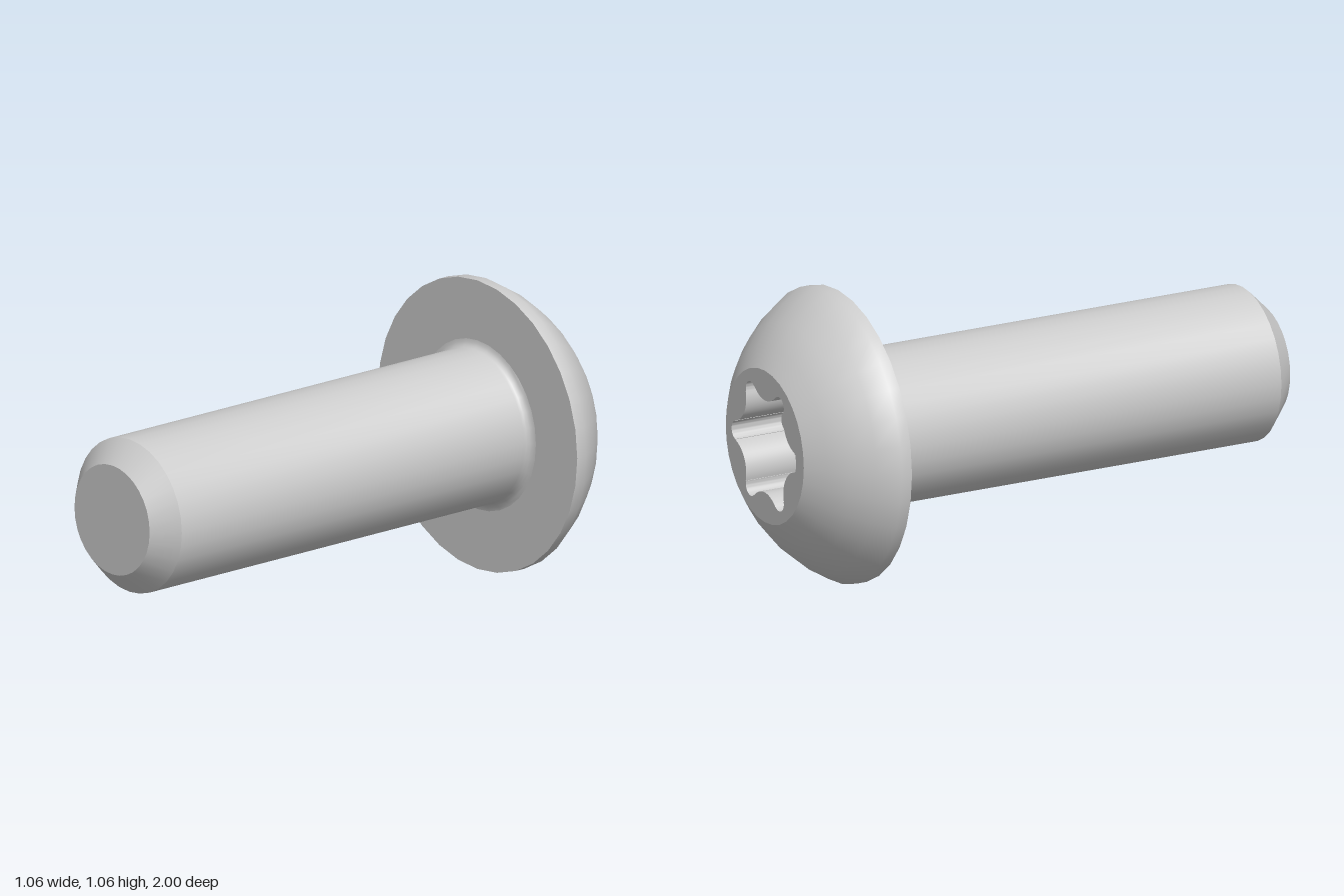
import * as THREE from 'three';
import { toCreasedNormals } from 'three/addons/utils/BufferGeometryUtils.js';

const SIDES = 32, HEAD_R = 0.53, FLAT_R = 0.28, SHANK_R = 0.28, SOCKET_DEPTH = 0.2;
const rad = THREE.MathUtils.degToRad;

// Six-lobed outline: narrow rounded tips joined by inward-bulging arcs
function tracelobes(path) {
  for (let i = 0; i < 6; i++) {
    const tip = rad(60 * i), bump = tip + rad(30);
    path.absarc(0.203 * Math.cos(tip), 0.203 * Math.sin(tip), 0.035, tip - rad(75.7), tip + rad(75.7), false);
    path.absarc(0.275 * Math.cos(bump), 0.275 * Math.sin(bump), 0.105, bump + rad(225.7), bump + rad(134.3), true);
  }
  path.closePath();
  return path;
}

export function createModel() {
  const group = new THREE.Group();
  const material = new THREE.MeshStandardMaterial({ color: 0xcccccc });
  const add = (name, geometry) => {
    const mesh = new THREE.Mesh(geometry, material);
    mesh.name = name;
    mesh.position.y = HEAD_R;
    group.add(mesh);
  };
  const revolve = (points) => toCreasedNormals(
    new THREE.LatheGeometry(points.map(([r, z]) => new THREE.Vector2(r, z)), SIDES).rotateX(Math.PI / 2), rad(35));

  // Domed head: shallow arc, short rim and flat underside
  const domeCentre = -0.475, domeR = 0.595;
  const head = [];
  const a0 = Math.asin(FLAT_R / domeR), a1 = Math.asin(HEAD_R / domeR);
  for (let i = 0; i <= 4; i++) {
    const a = a0 + (a1 - a0) * i / 4;
    head.push([domeR * Math.sin(a), domeCentre - domeR * Math.cos(a)]);
  }
  head.push([HEAD_R, -0.705], [SHANK_R + 0.03, -0.705]);
  add('head', revolve(head));

  // Shank with a small fillet under the head and a chamfered end
  const shank = [];
  for (let i = 0; i <= 4; i++) {
    const a = i / 4 * Math.PI / 2;
    shank.push([SHANK_R + 0.03 * (1 - Math.sin(a)), -0.705 + 0.03 * (1 - Math.cos(a))]);
  }
  shank.push([SHANK_R, 0.92], [0.2, 1], [0, 1]);
  add('shank', revolve(shank));

  // Flat crown with the six-lobed socket cut through it
  const rim = [];
  for (let i = 0; i < SIDES; i++) {
    const a = i / SIDES * Math.PI * 2;
    rim.push(new THREE.Vector2(FLAT_R * Math.cos(a), FLAT_R * Math.sin(a)));
  }
  const crown = new THREE.Shape(rim);
  crown.holes.push(tracelobes(new THREE.Path()));
  const crownGeometry = new THREE.ExtrudeGeometry(crown, { depth: SOCKET_DEPTH, bevelEnabled: false, curveSegments: 8 });
  add('socketCrown', toCreasedNormals(crownGeometry.translate(0, 0, -1), rad(35)));

  // Socket floor, facing out of the head
  const floor = new THREE.ShapeGeometry(tracelobes(new THREE.Shape()), 8);
  add('socketFloor', floor.rotateY(Math.PI).translate(0, 0, SOCKET_DEPTH - 1));

  return group;
}
